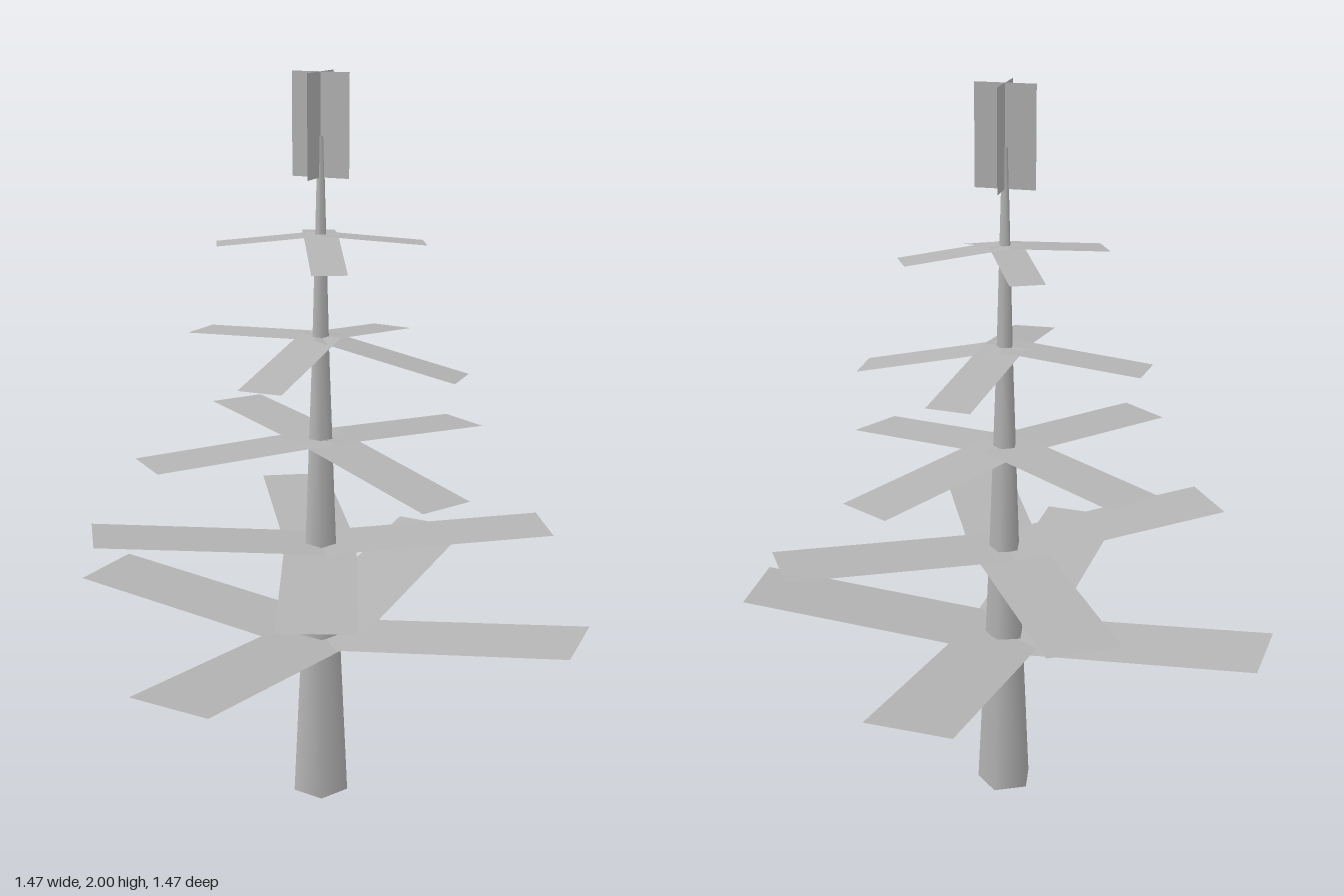
import * as THREE from 'three';

// Each tier: height at the trunk, strip width, and outer end centres [x, y, z]
const TIERS = [
  { y: 0.47, w: 0.233, tips: [[0.056, 0.575, -0.729], [0.727, 0.557, -0.044], [-0.072, 0.547, 0.724], [-0.73, 0.537, -0.057]] },
  { y: 0.74, w: 0.196, tips: [[0.534, 0.767, -0.33], [-0.334, 0.737, -0.536], [-0.514, 0.795, 0.342], [0.249, 0.737, 0.572]] },
  { y: 1.04, w: 0.156, tips: [[0.249, 1.005, -0.445], [-0.405, 1.035, -0.293], [-0.31, 1.03, 0.392], [0.449, 0.977, 0.234]] },
  { y: 1.32, w: 0.118, tips: [[0.391, 1.24, -0.016], [-0.384, 1.295, -0.043], [0.044, 1.272, -0.394], [0.012, 1.257, 0.386]] },
  { y: 1.59, w: 0.09, tips: [[0.239, 1.563, -0.133], [-0.119, 1.557, -0.245], [-0.237, 1.567, 0.127], [0.132, 1.53, 0.235]] },
];

// Flat strip from the trunk axis to a tip, level across its width
function stripGeometry(y, w, [x, tipY, z]) {
  const run = Math.hypot(x, z);
  const sx = (-z / run) * w / 2, sz = (x / run) * w / 2;
  const geo = new THREE.BufferGeometry();
  geo.setAttribute('position', new THREE.Float32BufferAttribute([
    -sx, y, -sz, sx, y, sz, x + sx, tipY, z + sz, x - sx, tipY, z - sz,
  ], 3));
  geo.setIndex([0, 1, 2, 0, 2, 3]);
  geo.computeVertexNormals();
  return geo;
}

export function createModel() {
  const group = new THREE.Group();
  const gray = new THREE.MeshStandardMaterial({ color: 0xb4b4b4 });
  gray.name = 'gray';
  gray.side = THREE.DoubleSide;

  const add = (name, geo, parent = group) => {
    const mesh = new THREE.Mesh(geo, gray);
    mesh.name = name;
    parent.add(mesh);
    return mesh;
  };

  // Five-sided tapering trunk
  const profile = [[0, 0], [0.079, 0], [0.079, 0], [0.056, 0.47], [0.044, 0.74], [0.024, 1.27], [0.008, 1.84], [0, 1.84]];
  const trunk = add('trunk', new THREE.LatheGeometry(profile.map(([r, y]) => new THREE.Vector2(r, y)), 5));
  trunk.rotation.y = THREE.MathUtils.degToRad(27);

  // Tiers of flat branches
  TIERS.forEach(({ y, w, tips }, i) => {
    const tier = new THREE.Group();
    tier.name = `branchTier${i + 1}`;
    tips.forEach((tip) => add('branch', stripGeometry(y, w, tip), tier));
    group.add(tier);
  });

  // Two crossed upright plates at the top
  for (const turn of [0, Math.PI / 2]) {
    const plate = add('topPlate', new THREE.PlaneGeometry(0.16, 0.265));
    plate.position.y = 1.8675;
    plate.rotation.y = turn;
  }
  return group;
}
